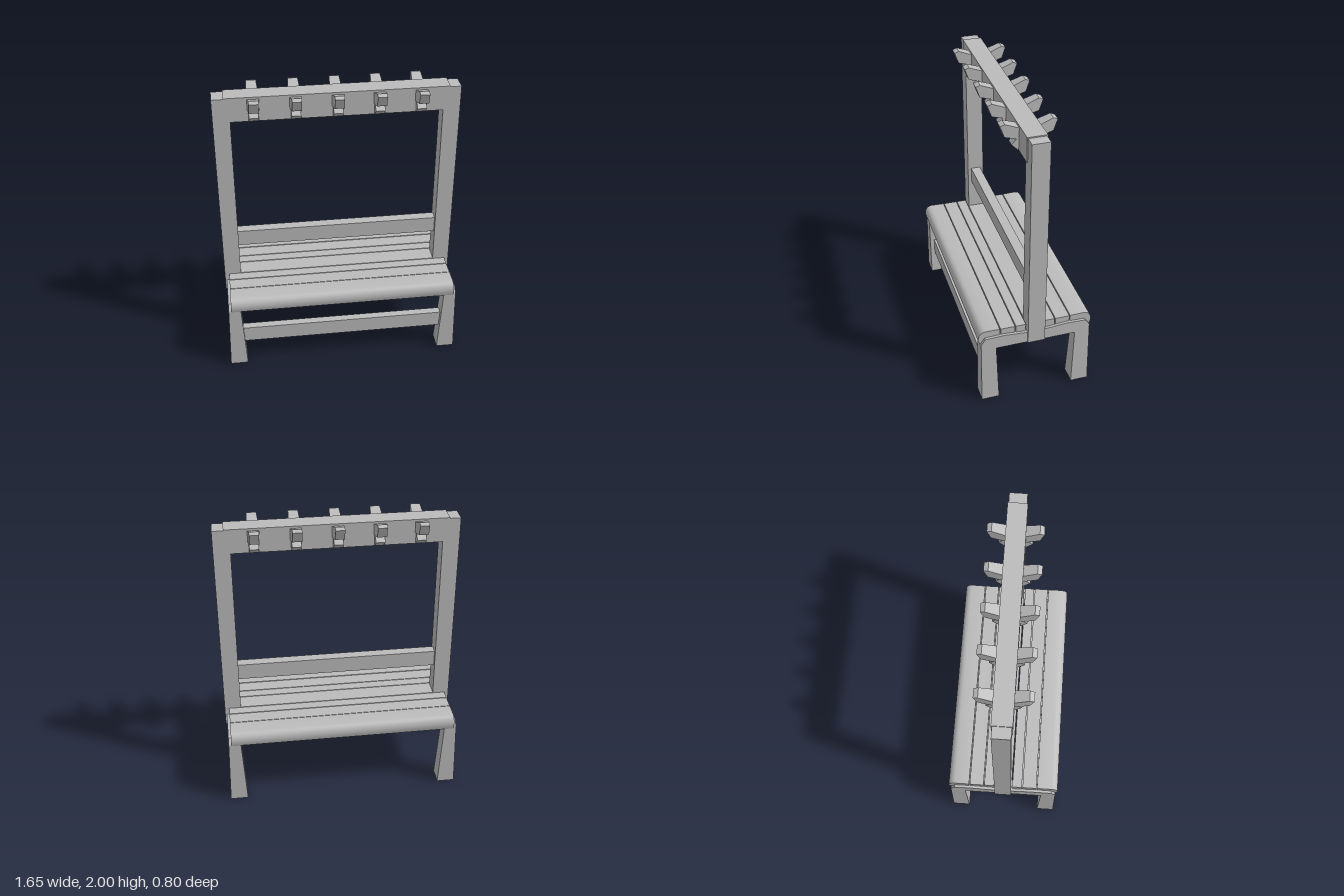
import * as THREE from 'three';
import { toCreasedNormals } from 'three/addons/utils/BufferGeometryUtils.js';

export function createModel() {
  const model = new THREE.Group();
  const grey = new THREE.MeshStandardMaterial({ color: 0xbbbbbb });
  grey.name = 'grey';

  const add = (name, geometry) => {
    const mesh = new THREE.Mesh(geometry, grey);
    mesh.name = name;
    model.add(mesh);
    return mesh;
  };

  // Box given by its limits on each axis
  const box = (name, x0, x1, y0, y1, z0, z1) => {
    const g = new THREE.BoxGeometry(x1 - x0, y1 - y0, z1 - z0);
    g.translate((x0 + x1) / 2, (y0 + y1) / 2, (z0 + z1) / 2);
    return add(name, g);
  };

  // Prism along x from a profile of [z, y] points
  const prism = (points, width) => {
    const shape = new THREE.Shape(points.map(([z, y]) => new THREE.Vector2(z, y)));
    const g = new THREE.ExtrudeGeometry(shape, { depth: width, bevelEnabled: false });
    g.translate(0, 0, -width / 2);
    g.rotateY(-Math.PI / 2);
    return g;
  };

  // Move the vertices of a geometry by a rule
  const reshape = (g, rule) => {
    const p = g.attributes.position;
    for (let i = 0; i < p.count; i++) {
      p.setX(i, rule(p.getX(i), p.getY(i), p.getZ(i)));
    }
    g.computeVertexNormals();
    return g;
  };

  // End frames: arched legs that narrow towards the seat, and a tall post
  const half = [[0.265, 0], [0.388, 0], [0.385, 0.485], [0.355, 0.528], [0.22, 0.533], [0.06, 0.52]];
  const arch = [
    [-0.28, 0.437], [0.28, 0.437], ...half,
    ...half.map(([z, y]) => [-z, y]).reverse(),
  ];
  for (const side of [-1, 1]) {
    const g = reshape(prism(arch, 1), (x, y) => {
      const t = Math.min(y / 0.5, 1);
      const outer = 0.826 - 0.012 * t;
      const inner = 0.702 + 0.028 * t;
      return side * (x * side > 0 ? outer : inner);
    });
    add('endFrame', g);
    box('post', side > 0 ? 0.71 : -0.826, side > 0 ? 0.826 : -0.71, 0.438, 1.975, -0.06, 0.06);
  }

  // Seat: rounded front boards and flat slats, mirrored about the posts
  const nose = [
    [0.249, 0.515], [0.345, 0.515], [0.37, 0.5], [0.376, 0.482], [0.392, 0.482], [0.4, 0.51],
    [0.399, 0.535], [0.39, 0.558], [0.375, 0.573], [0.352, 0.58], [0.249, 0.578],
  ];
  for (const side of [1, -1]) {
    const g = toCreasedNormals(prism(nose, 1.59), 0.7);
    if (side < 0) g.rotateY(Math.PI);
    add('roundedSeatBoard', g);
    for (const [a, b] of [[0.068, 0.137], [0.143, 0.243]]) {
      box('seatSlat', -0.795, 0.795, 0.51, 0.577, side > 0 ? a : -b, side > 0 ? b : -a);
    }
  }
  box('centreSlat', -0.715, 0.715, 0.51, 0.577, -0.062, 0.062);

  // Long bearers under the seat
  for (const z of [-0.25, -0.125, 0, 0.125, 0.25]) {
    box('seatBearer', -0.735, 0.735, 0.43, 0.53, z - 0.04, z + 0.04);
  }

  // Rails
  box('stretcher', -0.735, 0.735, 0.18, 0.297, 0.3, 0.355);
  box('backRail', -0.72, 0.72, 0.803, 0.92, -0.035, 0.035);
  box('topRail', -0.75, 0.75, 1.81, 1.983, -0.066, 0.066);

  // Double coat hooks on both faces of the top rail
  const prong = [[0.06, 1.888], [0.085, 1.893], [0.158, 1.912], [0.185, 1.988], [0.155, 2], [0.06, 1.965]];
  const peg = [[0.06, 1.82], [0.072, 1.812], [0.112, 1.852], [0.08, 1.89], [0.06, 1.89]];
  for (let i = -2; i <= 2; i++) {
    for (const turn of [0, Math.PI]) {
      const hook = new THREE.Group();
      hook.name = 'coatHook';
      for (const [name, profile, width] of [['upperProng', prong, 0.08], ['lowerPeg', peg, 0.068]]) {
        const g = reshape(prism(profile, width), (x, y, z) => x * (1 - 1.8 * (z - 0.06)));
        const mesh = new THREE.Mesh(g, grey);
        mesh.name = name;
        hook.add(mesh);
      }
      hook.rotation.y = turn;
      hook.position.x = i * 0.278;
      model.add(hook);
    }
  }

  return model;
}
